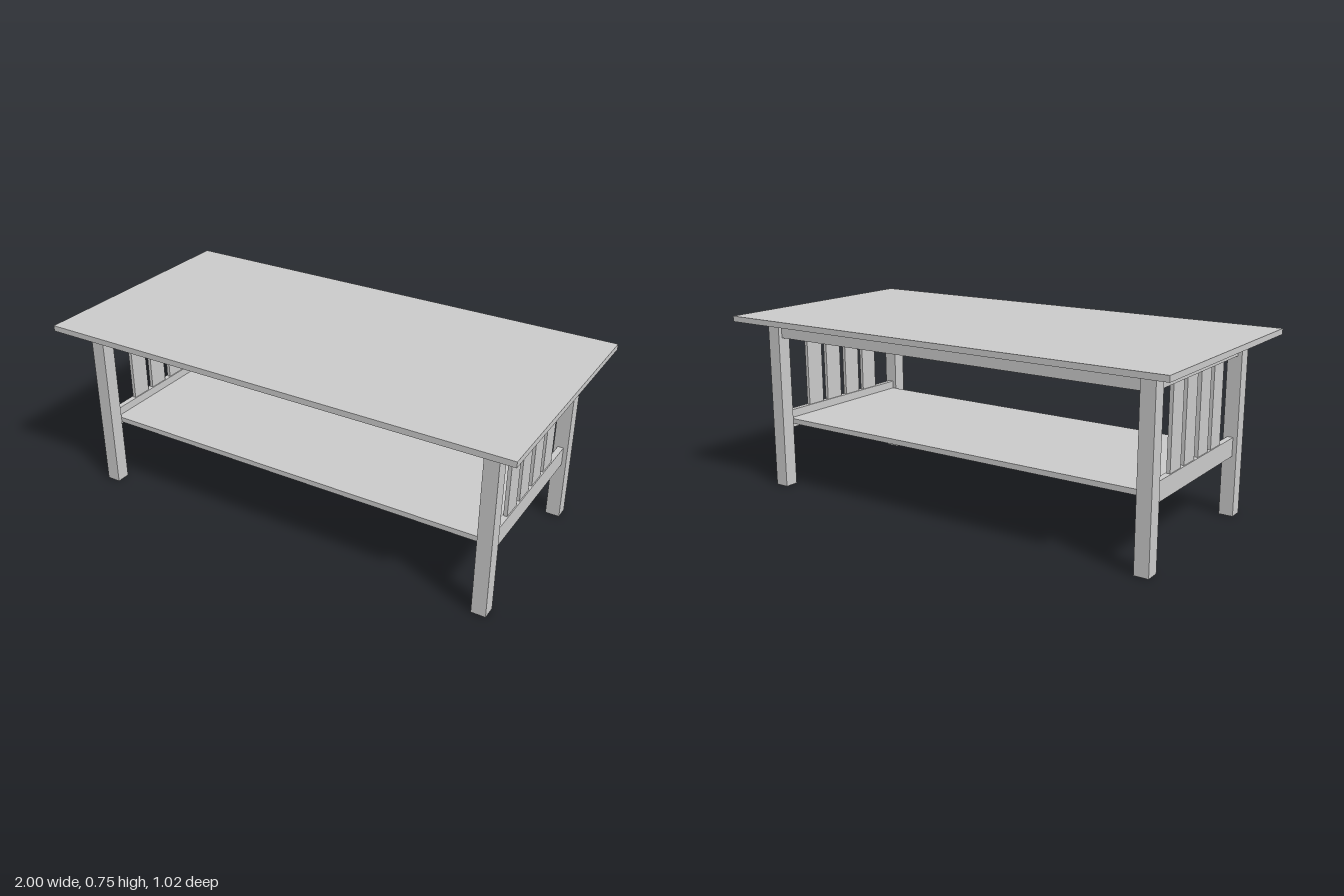
import * as THREE from 'three';

const material = new THREE.MeshStandardMaterial({ color: 0xcccccc });

export function createModel() {
  const table = new THREE.Group();
  table.name = 'coffeeTable';

  // Box from its size, centre x, bottom y and centre z
  function board(name, w, h, d, x, y, z, parent = table) {
    const mesh = new THREE.Mesh(new THREE.BoxGeometry(w, h, d), material);
    mesh.name = name;
    mesh.position.set(x, y + h / 2, z);
    parent.add(mesh);
  }

  const legX = 0.8745, legZ = 0.374, legSize = 0.059, topY = 0.728;
  const innerX = legX - legSize / 2, innerZ = legZ - legSize / 2;
  const railThick = 0.024;

  board('tableTop', 2, 0.0235, 1.016, 0, topY, 0);
  board('lowerShelf', 2 * (legX - railThick / 2), 0.022, 2 * innerZ, 0, 0.272, 0);

  // Long aprons under the top
  for (const s of [1, -1]) {
    board(s > 0 ? 'frontApron' : 'backApron', 2 * innerX, topY - 0.656, railThick, 0, 0.656, s * legZ);
  }

  // End frames: two legs, two rails and four slats each
  for (const s of [1, -1]) {
    const end = new THREE.Group();
    end.name = s > 0 ? 'leftEnd' : 'rightEnd';
    table.add(end);
    board('frontLeg', legSize, topY, legSize, s * legX, 0, legZ, end);
    board('backLeg', legSize, topY, legSize, s * legX, 0, -legZ, end);
    board('upperRail', railThick, topY - 0.656, 2 * innerZ, s * legX, 0.656, 0, end);
    board('lowerRail', railThick, 0.078, 2 * innerZ, s * legX, 0.25, 0, end);
    for (const z of [0.178, 0.062, -0.059, -0.175]) {
      board('slat', 0.015, 0.328, 0.087, s * legX, 0.328, z, end);
    }
  }
  return table;
}
